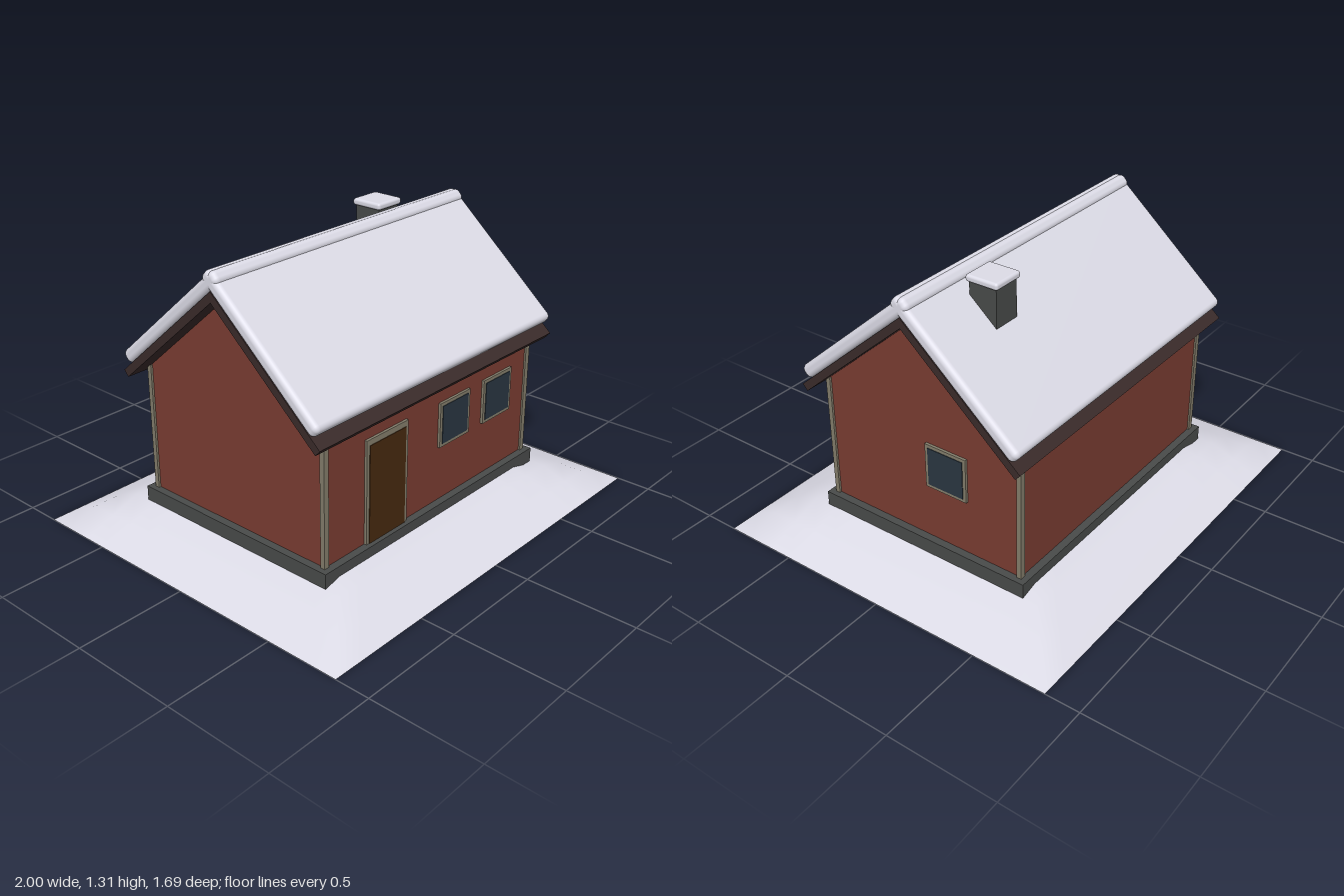
import * as THREE from 'three';
import { RoundedBoxGeometry } from 'three/addons/geometries/RoundedBoxGeometry.js';

const material = (name, color, extra = {}) => {
  const m = new THREE.MeshStandardMaterial({ color, ...extra });
  m.name = name;
  return m;
};

export function createModel() {
  const model = new THREE.Group();
  model.name = 'snowyCabin';

  const snow = material('snow', 0xebeaf6, { side: THREE.DoubleSide });
  const red = material('red boards', 0x7a3c32);
  const stone = material('dark stone', 0x494b4a);
  const roofWood = material('roof wood', 0x3a2b2a);
  const trim = material('trim', 0x837d6b);
  const doorWood = material('door wood', 0x46290f);
  const glass = material('glass', 0x2a3641);

  const add = (name, geometry, mat, x = 0, y = 0, z = 0, parent = model) => {
    const mesh = new THREE.Mesh(geometry, mat);
    mesh.name = name;
    mesh.position.set(x, y, z);
    parent.add(mesh);
    return mesh;
  };
  const box = (w, h, d) => new THREE.BoxGeometry(w, h, d);

  // Snow mound: a sheet that rises towards the house and is level beneath it
  const mound = new THREE.PlaneGeometry(2, 1.686, 14, 14).rotateX(-Math.PI / 2);
  const p = mound.attributes.position;
  for (let i = 0; i < p.count; i++) {
    const u = Math.max(Math.abs(p.getX(i)), Math.abs(p.getZ(i)) / 0.843);
    p.setY(i, Math.max(0, Math.min(0.135, 0.2 * (1 - u * u))));
  }
  mound.computeVertexNormals();
  add('snowMound', mound, snow);

  // Foundation
  add('foundation', box(1.42, 0.096, 1.06), stone, 0, 0.118, 0);

  // Walls with gables
  const gable = new THREE.Shape();
  gable.moveTo(-0.495, 0.16);
  gable.lineTo(0.495, 0.16);
  gable.lineTo(0.495, 0.75);
  gable.lineTo(0, 1.18);
  gable.lineTo(-0.495, 0.75);
  const walls = new THREE.ExtrudeGeometry(gable, { depth: 1.35, bevelEnabled: false });
  walls.translate(0, 0, -0.675).rotateY(Math.PI / 2);
  add('walls', walls, red);

  // Corner posts
  for (const sx of [-1, 1]) {
    for (const sz of [-1, 1]) {
      add('cornerPost', box(0.026, 0.59, 0.022), trim, sx * 0.672, 0.455, sz * 0.492);
    }
  }

  // Roof: a wooden deck and a rounded snow slab on each slope
  const pitch = THREE.MathUtils.degToRad(41);
  for (const turn of [0, Math.PI]) {
    const side = new THREE.Group();
    side.name = turn ? 'backRoof' : 'frontRoof';
    side.rotation.y = turn;
    const slope = new THREE.Group();
    slope.name = 'roofSlope';
    slope.position.y = 1.22;
    slope.rotation.x = pitch;
    add('roofDeck', box(1.53, 0.035, 0.738), roofWood, 0, -0.0175, 0.369, slope);
    add('roofSnow', new RoundedBoxGeometry(1.546, 0.062, 0.755, 3, 0.024), snow, 0, 0.03, 0.3075, slope);
    side.add(slope);
    model.add(side);
  }

  // Chimney with a snow cap
  add('chimney', box(0.13, 0.3, 0.13), stone, 0.395, 1.13, -0.157);
  add('chimneySnow', new RoundedBoxGeometry(0.155, 0.031, 0.155, 3, 0.012), snow, 0.395, 1.292, -0.157);

  // Windows: a frame with a thin pane, facing +z until turned
  const addWindow = (x, y, z, turn) => {
    const w = new THREE.Group();
    w.name = 'window';
    add('windowFrame', box(0.206, 0.206, 0.02), trim, 0, 0, 0, w);
    add('windowPane', box(0.176, 0.176, 0.006), glass, 0, 0, 0.01, w);
    w.position.set(x, y, z);
    w.rotation.y = turn;
    model.add(w);
  };
  addWindow(0.134, 0.525, 0.497, 0);
  addWindow(0.441, 0.525, 0.497, 0);
  addWindow(0.677, 0.525, -0.13, Math.PI / 2);

  // Front door
  add('doorFrame', box(0.256, 0.471, 0.02), trim, -0.312, 0.4005, 0.497);
  add('door', box(0.224, 0.445, 0.008), doorWood, -0.312, 0.388, 0.506);

  return model;
}
